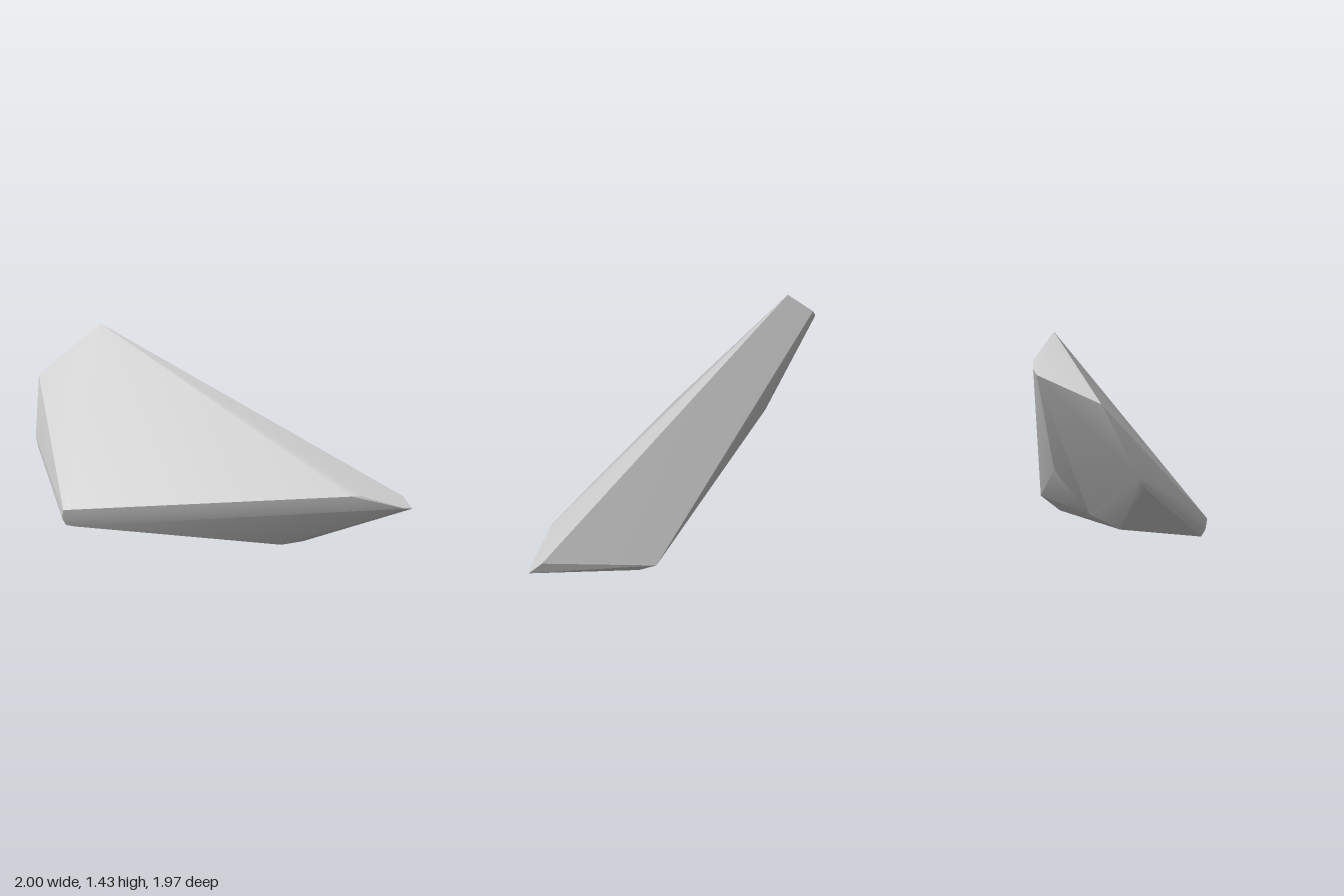
import * as THREE from 'three';
import { ConvexGeometry } from 'three/addons/geometries/ConvexGeometry.js';
import { toCreasedNormals } from 'three/addons/utils/BufferGeometryUtils.js';

// Corners of the chipped stone, grouped by region
const corners = {
  peak: [[-0.48, 1.43, -0.75], [-0.53, 1.28, -0.95], [-0.56, 1.24, -0.975], [-0.6, 1.21, -0.985], [-0.92, 1.07, -0.83]],
  rightSide: [[-1, 0.66, -0.62], [-0.995, 0.6, -0.57]],
  frontLeftCorner: [[-0.97, 0.31, 0.04], [-0.975, 0.25, 0.02], [-0.95, 0.2, 0.01], [-0.9, 0.19, 0.03]],
  frontRidge: [[0.64, 0.435, 0.855], [0.7, 0.435, 0.875]],
  tip: [[0.99, 0.41, 0.9], [1, 0.35, 0.98], [0.95, 0.355, 0.975]],
  underside: [[0.74, 0.13, 0.23], [0.64, 0.01, 0.34], [0.6, 0, 0.36], [0.57, 0.01, 0.4], [0.36, 0.04, 0.48]],
  back: [[-0.33, 0.61, -0.615], [-0.45, 0.33, -0.44], [-0.62, 0.25, -0.35]],
};

export function createModel() {
  const group = new THREE.Group();
  group.name = 'stone';

  // Convex shell with softened shallow edges and sharp main ridges
  const points = Object.values(corners).flat().map((p) => new THREE.Vector3(...p));
  const geometry = toCreasedNormals(new ConvexGeometry(points), 0.4);
  const rock = new THREE.Mesh(geometry, new THREE.MeshStandardMaterial({ color: 0xcccccc }));
  rock.name = 'rock';
  group.add(rock);
  return group;
}
